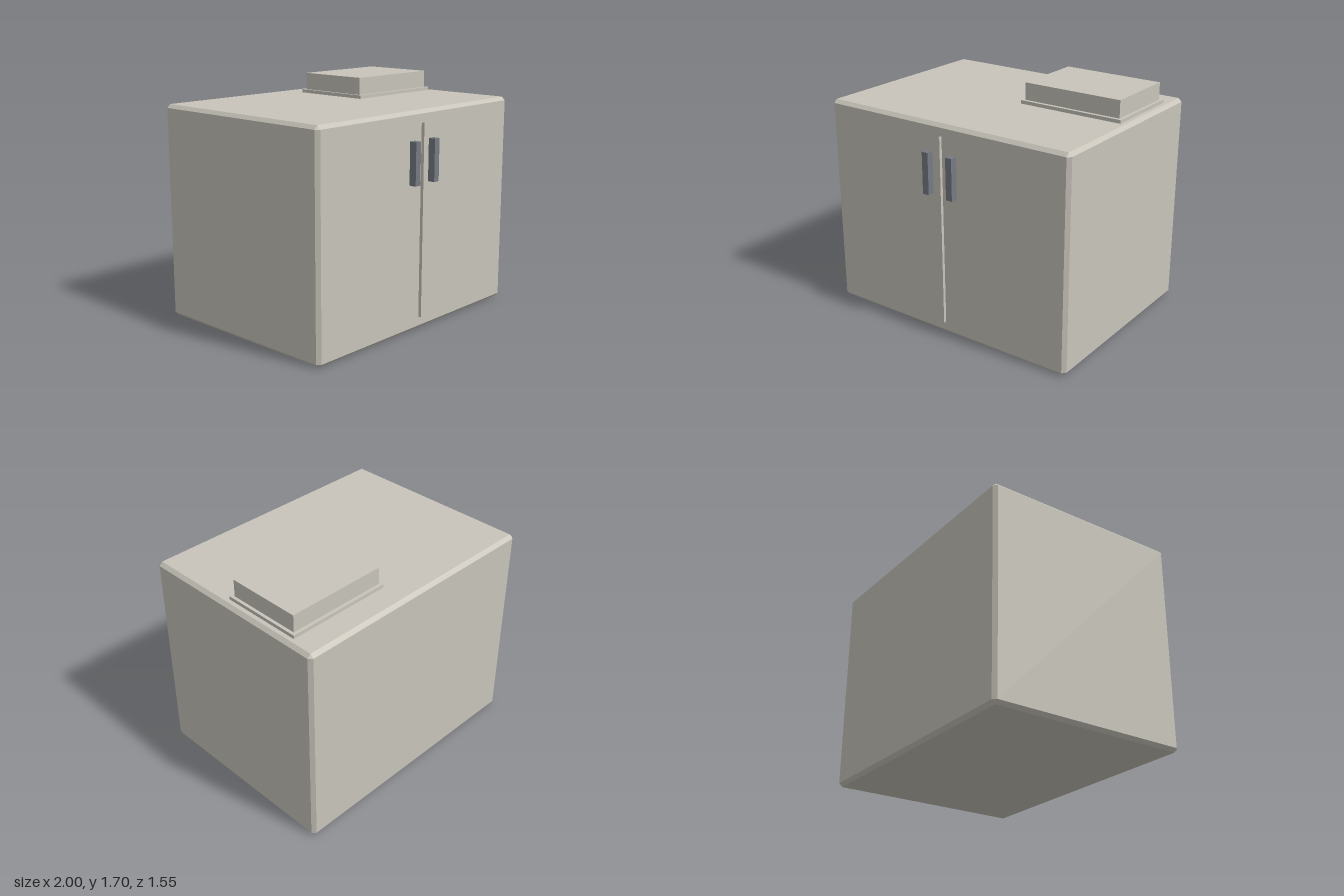
import * as THREE from 'three';
import { ConvexGeometry } from 'three/addons/geometries/ConvexGeometry.js';

const paint = new THREE.MeshStandardMaterial({ color: 0xc8c4ba });
paint.name = 'warm grey paint';
const metal = new THREE.MeshStandardMaterial({ color: 0x767b82 });
metal.name = 'handle grey';

// Box given by its lower and upper corners
function box(name, material, [x0, y0, z0], [x1, y1, z1]) {
  const mesh = new THREE.Mesh(new THREE.BoxGeometry(x1 - x0, y1 - y0, z1 - z0), material);
  mesh.position.set((x0 + x1) / 2, (y0 + y1) / 2, (z0 + z1) / 2);
  mesh.name = name;
  return mesh;
}

// Box with every edge cut at 45 degrees
function chamferedBox(w, h, d, c) {
  const points = [];
  for (const sx of [-1, 1]) for (const sy of [-1, 1]) for (const sz of [-1, 1]) {
    for (let full = 0; full < 3; full++) {
      const p = [w / 2, h / 2, d / 2].map((v, i) => (i === full ? v : v - c));
      points.push(new THREE.Vector3(sx * p[0], sy * p[1], sz * p[2]));
    }
  }
  return new ConvexGeometry(points);
}

export function createModel() {
  const model = new THREE.Group();
  model.name = 'cabinet';

  // Cabinet body
  const front = 0.722, back = -0.775, height = 1.55;
  const body = new THREE.Mesh(chamferedBox(2, height, front - back, 0.025), paint);
  body.name = 'body';
  body.position.set(0, height / 2, (front + back) / 2);
  model.add(body);

  // Raised strip between the two doors
  model.add(box('doorStrip', paint, [-0.005, 0.09, front - 0.02], [0.005, 1.465, 0.745]));

  // Door handles
  for (const [side, x] of [['left', 0.1], ['right', -0.1]]) {
    model.add(box(side + 'Handle', metal, [x - 0.025, 1.05, front - 0.01], [x + 0.025, 1.35, 0.775]));
  }

  // Roof unit on its flange
  model.add(box('roofFlange', paint, [0.15, height - 0.01, -0.575], [0.945, 1.575, 0.025]));
  model.add(box('roofUnit', paint, [0.17, 1.57, -0.55], [0.922, 1.7, 0]));

  return model;
}
